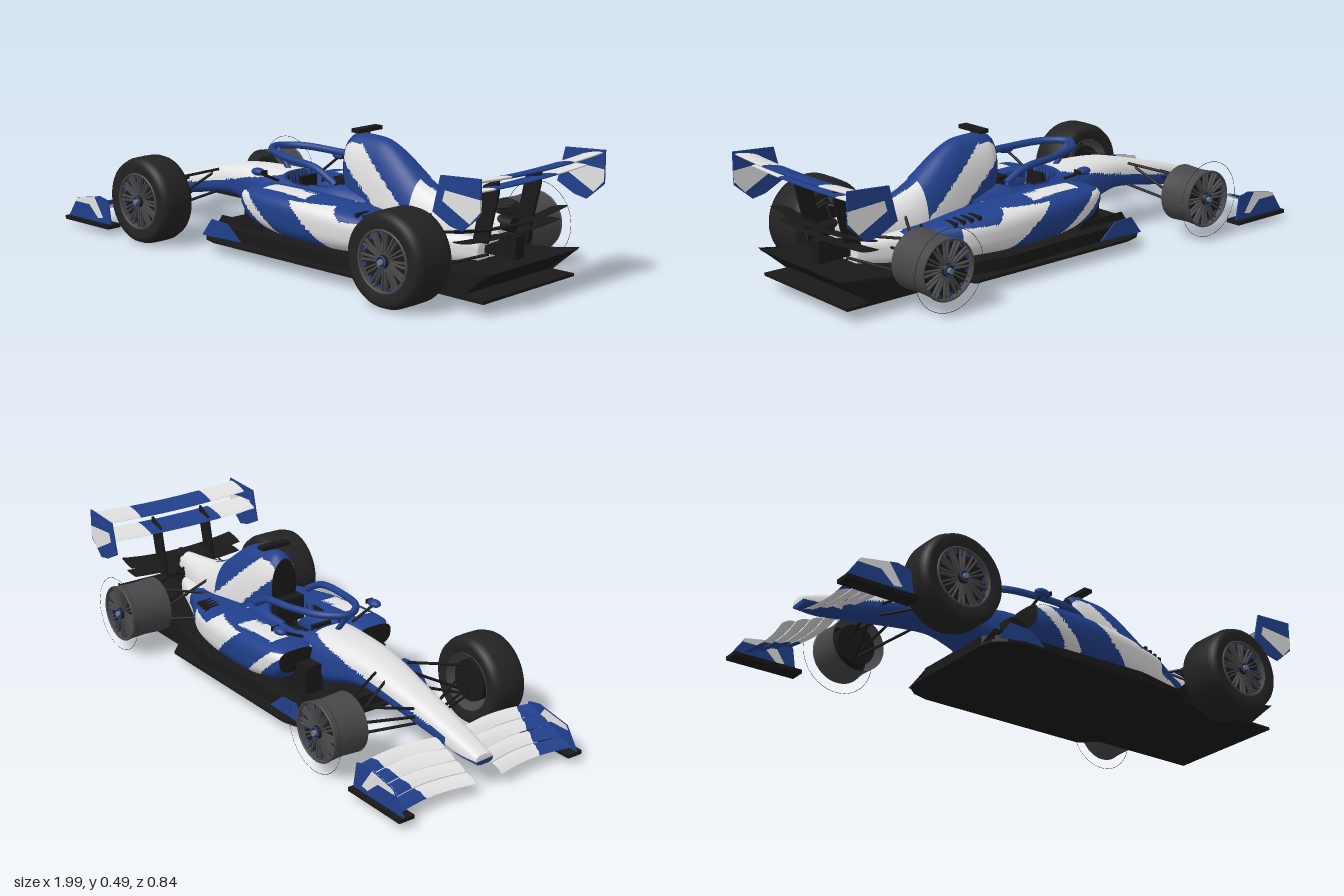
import * as THREE from 'three';

const mat = (name, color, side = THREE.FrontSide) => {
  const m = new THREE.MeshStandardMaterial({ color, side });
  m.name = name;
  return m;
};
const V = (x, y, z) => new THREE.Vector3(x, y, z);

export function createModel() {
  const D = THREE.DoubleSide;
  const blue = mat('blue paint', 0x21408c, D), white = mat('white paint', 0xe2e2e2, D);
  const black = mat('black carbon', 0x191919, D), rubber = mat('tyre rubber', 0x232323);
  const grey = mat('rim grey', 0x48484a, D), silver = mat('hub metal', 0x77777c);
  const paints = [blue, white, black];
  const car = new THREE.Group();
  car.name = 'racingCar';

  const add = (name, geo, m, parent = car) => {
    const mesh = new THREE.Mesh(geo, m);
    mesh.name = name;
    parent.add(mesh);
    return mesh;
  };
  const box = (name, w, h, d, x, y, z, m) => add(name, new THREE.BoxGeometry(w, h, d).translate(x, y, z), m);
  // round bar between two points
  const bar = (name, a, b, r, m = black) => {
    const g = new THREE.CylinderGeometry(r, r, a.distanceTo(b), 8);
    const mesh = add(name, g, m);
    mesh.position.copy(a).lerp(b, 0.5);
    mesh.quaternion.setFromUnitVectors(V(0, 1, 0), b.clone().sub(a).normalize());
  };
  // thin upright plate from an x,y outline
  const plate = (name, pts, z, t, m) => {
    const g = new THREE.ExtrudeGeometry(new THREE.Shape(pts.map(p => new THREE.Vector2(...p))), { depth: t, bevelEnabled: false });
    add(name, g.translate(0, 0, z - t / 2), m);
  };
  // flat deck from a half outline in x,z
  const deck = (name, half, y, t, m) => {
    const all = [...half, ...half.map(([x, z]) => [x, -z]).reverse()];
    const g = new THREE.ExtrudeGeometry(new THREE.Shape(all.map(p => new THREE.Vector2(...p))), { depth: t, bevelEnabled: false });
    add(name, g.rotateX(-Math.PI / 2).translate(0, y, 0), m);
  };
  // grid surface, each face coloured by a paint rule on its centre
  const surface = (name, nu, nv, point, paint, caps = false) => {
    const pos = [], lists = [[], [], []], c = V(0, 0, 0);
    for (let i = 0; i <= nu; i++) for (let j = 0; j <= nv; j++) pos.push(...point(i / nu, j / nv).toArray());
    const at = k => V(pos[3 * k], pos[3 * k + 1], pos[3 * k + 2]);
    const tri = (p, q, r) => {
      c.copy(at(p)).add(at(q)).add(at(r)).divideScalar(3);
      lists[paint(c.x, c.y, c.z)].push(p, q, r);
    };
    const id = (i, j) => i * (nv + 1) + (caps ? j % nv : j);
    for (let i = 0; i < nu; i++) for (let j = 0; j < nv; j++) {
      tri(id(i, j), id(i + 1, j), id(i + 1, j + 1));
      tri(id(i, j), id(i + 1, j + 1), id(i, j + 1));
    }
    if (caps) for (let j = 1; j < nv - 1; j++) {
      tri(id(0, 0), id(0, j), id(0, j + 1));
      tri(id(nu, 0), id(nu, j + 1), id(nu, j));
    }
    const g = new THREE.BufferGeometry();
    g.setAttribute('position', new THREE.Float32BufferAttribute(pos, 3));
    g.setIndex(lists.flat());
    let start = 0;
    lists.forEach((l, k) => { if (l.length) g.addGroup(start, l.length, k); start += l.length; });
    g.computeVertexNormals();
    add(name, g, paints);
  };
  // body shell from rows of [x, bottom, top, centre z, half width]
  const loft = (name, rows, e, taper, paint, move = p => p) => {
    const A = new THREE.CatmullRomCurve3(rows.map(r => V(r[0], r[1], r[2])), false, 'catmullrom', 0.4);
    const B = new THREE.CatmullRomCurve3(rows.map(r => V(r[0], r[3], r[4])), false, 'catmullrom', 0.4);
    const pw = v => Math.sign(v) * Math.abs(v) ** e;
    surface(name, 140, 72, (u, v) => {
      const a = A.getPoint(u), b = B.getPoint(u), t = v * Math.PI * 2, s = pw(Math.sin(t));
      return move(V(a.x, (a.y + a.z) / 2 + (a.z - a.y) / 2 * s, b.y + b.z * pw(Math.cos(t)) * (1 - taper * s)));
    }, paint, true);
  };

  // nose and cockpit tub
  const inCockpit = (x, z) => ((x - 0.03) / 0.135) ** 4 + (z / 0.085) ** 4 < 1;
  loft('noseAndTub', [
    [-0.94, 0.09, 0.125, 0, 0.035], [-0.85, 0.09, 0.155, 0, 0.045], [-0.7, 0.115, 0.2, 0, 0.056], [-0.4, 0.16, 0.275, 0, 0.085],
    [-0.2, 0.11, 0.288, 0, 0.11], [0, 0.08, 0.285, 0, 0.125], [0.16, 0.08, 0.29, 0, 0.125], [0.3, 0.1, 0.27, 0, 0.1],
  ], 0.7, 0.1, (x, y, z) => {
    if (y > 0.15 && inCockpit(x, z)) return 2;
    if (x < -0.8) return y > 0.105 ? 1 : 0;
    return x < -0.12 && y > 0.142 + (x + 0.8) * 0.2 && Math.abs(z) < 0.09 ? 1 : 0;
  }, p => (p.y > 0.2 && inCockpit(p.x, p.z) ? p.setY(0.18) : p));

  // engine cover with air intake
  loft('engineCover', [
    [0.165, 0.26, 0.445, 0, 0.052], [0.2, 0.2, 0.465, 0, 0.068], [0.32, 0.1, 0.46, 0, 0.078], [0.4, 0.09, 0.422, 0, 0.084],
    [0.52, 0.09, 0.337, 0, 0.088], [0.65, 0.11, 0.29, 0, 0.065], [0.84, 0.18, 0.27, 0, 0.03],
  ], 0.9, 0.1, (x, y, z) => {
    const u = x + 1.17 * y, spine = 0.012 + 0.2 * Math.max(0, y - 0.28);
    if (x < 0.168) return 2;
    if (x < 0.6 && y > 0.25 && Math.abs(z) < spine) return 0;
    if (x > 0.5 || y < 0.21) return 1;
    return u > 0.61 && u < 0.76 ? 1 : 0;
  });

  for (const s of [1, -1]) {
    // sidepod
    loft('sidepod', [
      [-0.15, 0.17, 0.25, s * 0.17, 0.075], [-0.1, 0.13, 0.262, s * 0.17, 0.092], [0.05, 0.1, 0.262, s * 0.165, 0.105],
      [0.25, 0.09, 0.25, s * 0.15, 0.105], [0.42, 0.09, 0.23, s * 0.12, 0.1], [0.58, 0.09, 0.21, s * 0.07, 0.07], [0.78, 0.11, 0.19, s * 0.03, 0.03],
    ], 0.7, -0.06, (x, y, z) => {
      const u = x + 1.17 * y, a = Math.abs(z);
      if (x < -0.148) return 2;
      if (y > 0.245) return u > 0.24 && u < 0.44 && a > 0.15 && a < 0.22 ? 1 : 0;
      if (u < 0.12) return 0;
      if (u < 0.18) return 1;
      if (u < 0.38) return 0;
      if (u < 0.56) return 1;
      if (x > 0.45 && x < 0.62 && y > 0.15 && a > 0.08) return 0;
      return y > 0.205 && x < 0.6 ? 0 : 1;
    });
    box('sidepodInlet', 0.14, 0.1, 0.07, -0.14, 0.15, s * 0.14, black);
    for (let i = 0; i < 4; i++) box('coolingLouvre', 0.012, 0.03, 0.06, 0.375 + i * 0.028, 0.222 - i * 0.004, s * (0.18 - i * 0.008), black);

    // floor fences and edge
    plate('floorFence', [[-0.33, 0.055], [-0.28, 0.12], [-0.2, 0.115], [-0.13, 0.06]], s * 0.27, 0.006, blue);
    plate('innerFence', [[-0.35, 0.05], [-0.3, 0.12], [-0.1, 0.12], [-0.08, 0.06]], s * 0.2, 0.006, black);
    plate('diffuserSide', [[0.45, 0.05], [0.53, 0.12], [0.82, 0.12], [0.97, 0.145], [0.86, 0.05]], s * 0.237, 0.006, black);

    // mirror
    add('mirror', new THREE.SphereGeometry(1, 20, 12).scale(0.03, 0.014, 0.02).translate(-0.1, 0.312, s * 0.208), blue);
    box('mirrorGlass', 0.006, 0.016, 0.03, -0.071, 0.312, s * 0.208, black);
    bar('mirrorStalk', V(-0.1, 0.305, s * 0.2), V(-0.1, 0.265, s * 0.11), 0.005);

    // front wing elements
    for (let k = 0; k < 4; k++) surface('frontWingElement', 48, 4, (u, v) => {
      const c = k + v * 0.94, z = 0.055 + 0.31 * u;
      return V(-0.965 + 0.052 * c + 0.022 * Math.sin(Math.PI * u), 0.045 + 0.021 * c + 0.006 * Math.sin(Math.PI * v), s * z);
    }, (x, y, z) => (Math.abs(z) > 0.275 + 0.35 * (x + 0.85) ? 0 : 1));
    plate('frontEndplate', [[-0.99, 0.035], [-0.935, 0.115], [-0.8, 0.14], [-0.75, 0.13], [-0.735, 0.04]], s * 0.37, 0.006, blue);
    plate('frontEndplateStripe', [[-0.945, 0.1], [-0.935, 0.115], [-0.83, 0.134], [-0.78, 0.06], [-0.81, 0.055], [-0.86, 0.1]], s * 0.37, 0.008, white);
    box('frontFootplate', 0.26, 0.014, 0.06, -0.86, 0.032, s * 0.36, black);

    // rear wing endplate and pylon
    plate('rearEndplate', [[0.84, 0.455], [1, 0.465], [1, 0.35], [0.93, 0.29], [0.88, 0.3], [0.81, 0.335]], s * 0.325, 0.006, blue);
    plate('rearEndplateStripe', [[0.86, 0.41], [1, 0.4], [1, 0.36], [0.96, 0.318], [0.85, 0.375]], s * 0.325, 0.008, white);
    plate('rearWingPylon', [[0.8, 0.2], [0.84, 0.39], [0.9, 0.42], [0.9, 0.37], [0.86, 0.2]], s * 0.11, 0.01, black);
    bar('pylonFoot', V(0.82, 0.21, s * 0.11), V(0.78, 0.2, 0), 0.012);

    // suspension
    for (const [hx, hy, bx, by, bz] of [
      [-0.555, 0.22, -0.65, 0.185, 0.05], [-0.555, 0.22, -0.46, 0.25, 0.07], [-0.555, 0.11, -0.65, 0.13, 0.04],
      [-0.555, 0.11, -0.46, 0.17, 0.06], [-0.555, 0.12, -0.5, 0.23, 0.06], [-0.59, 0.17, -0.66, 0.16, 0.05],
      [0.67, 0.23, 0.52, 0.21, 0.07], [0.67, 0.23, 0.8, 0.22, 0.03], [0.67, 0.1, 0.5, 0.12, 0.06],
      [0.67, 0.1, 0.8, 0.14, 0.03], [0.67, 0.11, 0.58, 0.25, 0.06], [0.67, 0.165, 0.67, 0.165, 0.03],
    ]) bar('suspensionArm', V(hx, hy, s * 0.27), V(bx, by, s * bz), 0.005);
  }

  // halo
  const haloPts = [[0.18, 0.3, 0.115], [0.1, 0.34, 0.12], [-0.04, 0.352, 0.11], [-0.17, 0.36, 0.07], [-0.22, 0.362, 0]];
  const haloPath = [...haloPts, ...haloPts.slice(0, 4).reverse().map(([x, y, z]) => [x, y, -z])].map(p => V(...p));
  add('halo', new THREE.TubeGeometry(new THREE.CatmullRomCurve3(haloPath), 64, 0.013, 10), blue);
  bar('haloPillar', V(-0.22, 0.36, 0), V(-0.15, 0.275, 0), 0.01, blue);

  // cockpit fittings and roof camera
  box('headrest', 0.05, 0.09, 0.12, 0.15, 0.26, 0, black);
  box('steeringWheel', 0.015, 0.05, 0.08, -0.06, 0.25, 0, black);
  box('cameraBar', 0.035, 0.014, 0.12, 0.23, 0.481, 0, black);
  box('cameraStalk', 0.02, 0.03, 0.012, 0.23, 0.465, 0, grey);

  // floor and diffuser
  deck('floor', [[-0.35, 0.2], [-0.34, 0.245], [-0.3, 0.28], [-0.24, 0.297], [0.46, 0.297], [0.52, 0.24], [0.95, 0.24]], 0.042, 0.01, black);
  deck('floorDeck', [[-0.33, 0.17], [-0.25, 0.25], [0.3, 0.27], [0.45, 0.24], [0.8, 0.2]], 0.05, 0.045, black);
  plate('diffuser', [[0.45, 0.05], [0.6, 0.1], [0.82, 0.125], [0.97, 0.14], [0.85, 0.05]], 0, 0.46, black);

  // rear wing planes and beam wings
  const plane = (name, x0, x1, y0, y1, span, dip, thick, paint) => surface(name, 40, 16, (u, v) => {
    const a = v * Math.PI * 2, w = u * 2 - 1, c = (1 - Math.cos(a)) / 2;
    return V(x0 + (x1 - x0) * c, y0 + (y1 - y0) * c - dip * (1 - w * w) + thick * Math.sin(a), w * span);
  }, paint);
  const wingPaint = (x, y, z) => (Math.abs(z) > 0.163 ? 1 : 0);
  plane('rearWingMainPlane', 0.825, 0.93, 0.385, 0.405, 0.323, 0.01, 0.007, wingPaint);
  plane('rearWingFlap', 0.9, 0.992, 0.435, 0.455, 0.323, 0.012, 0.007, wingPaint);
  plane('beamWingUpper', 0.83, 0.91, 0.255, 0.275, 0.25, 0.02, 0.005, () => 2);
  plane('beamWingLower', 0.82, 0.89, 0.222, 0.228, 0.24, 0.012, 0.004, () => 2);

  // gearbox tail, exhaust and rain light
  box('crashStructure', 0.12, 0.07, 0.05, 0.82, 0.175, 0, black);
  box('rainLight', 0.03, 0.075, 0.045, 0.89, 0.175, 0, black);
  add('exhaust', new THREE.CylinderGeometry(0.025, 0.025, 0.06, 20).rotateZ(Math.PI / 2).translate(0.85, 0.247, 0), black);

  // wheels: tyres on the +z side, bare rims on the -z side
  const wheel = (x, zIn, zOut, s) => {
    const g = new THREE.Group(), w = zOut - zIn, h = w / 2;
    g.name = 'wheel';
    g.position.set(x, 0.161, s * (zIn + h));
    if (s < 0) g.rotation.y = Math.PI;
    car.add(g);
    const turn = pts => new THREE.LatheGeometry(pts.map(p => new THREE.Vector2(...p)), 56).rotateX(Math.PI / 2);
    if (s > 0) add('tyre', turn([[0.104, -h + 0.008], [0.135, -h], [0.152, -h + 0.008], [0.16, -h + 0.03], [0.161, 0],
      [0.16, h - 0.03], [0.152, h - 0.008], [0.135, h], [0.104, h - 0.008]]), rubber, g);
    else add('tyreMarking', new THREE.RingGeometry(0.1395, 0.141, 56).translate(0, 0, h), black, g);
    add('rimBarrel', turn([[0.104, -h + 0.004], [0.1, 0], [0.104, h - 0.004]]), grey, g);
    add('rimLip', new THREE.TorusGeometry(0.102, 0.004, 8, 56).translate(0, 0, h - 0.006), grey, g);
    add('rimFace', new THREE.CircleGeometry(0.1, 48).translate(0, 0, h - 0.026), black, g);
    add('brakeDrum', new THREE.CylinderGeometry(0.075, 0.075, w * 0.6, 32).rotateX(Math.PI / 2).translate(0, 0, -0.01), black, g);
    for (let i = 0; i < 12; i++) {
      const a = i * Math.PI / 6;
      for (const d of [-1, 1]) add('spoke', new THREE.BoxGeometry(0.08, 0.005, 0.012).rotateZ(d * 0.07)
        .translate(0.06, d * 0.006, h - 0.018).rotateZ(a), grey, g);
      add('rimAccent', new THREE.BoxGeometry(0.008, 0.012, 0.004).translate(0.092, 0, h - 0.022).rotateZ(a + 0.26), blue, g);
    }
    add('hub', new THREE.CylinderGeometry(0.02, 0.026, 0.03, 24).rotateX(Math.PI / 2).translate(0, 0, h - 0.016), black, g);
    add('hubRing', new THREE.TorusGeometry(0.018, 0.003, 6, 24).translate(0, 0, h), blue, g);
    add('hubNut', new THREE.CylinderGeometry(0.009, 0.011, 0.014, 12).rotateX(Math.PI / 2).translate(0, 0, h + 0.002), silver, g);
  };
  for (const s of [1, -1]) {
    wheel(-0.555, 0.25, 0.393, s);
    wheel(0.67, 0.237, 0.41, s);
  }
  return car;
}
